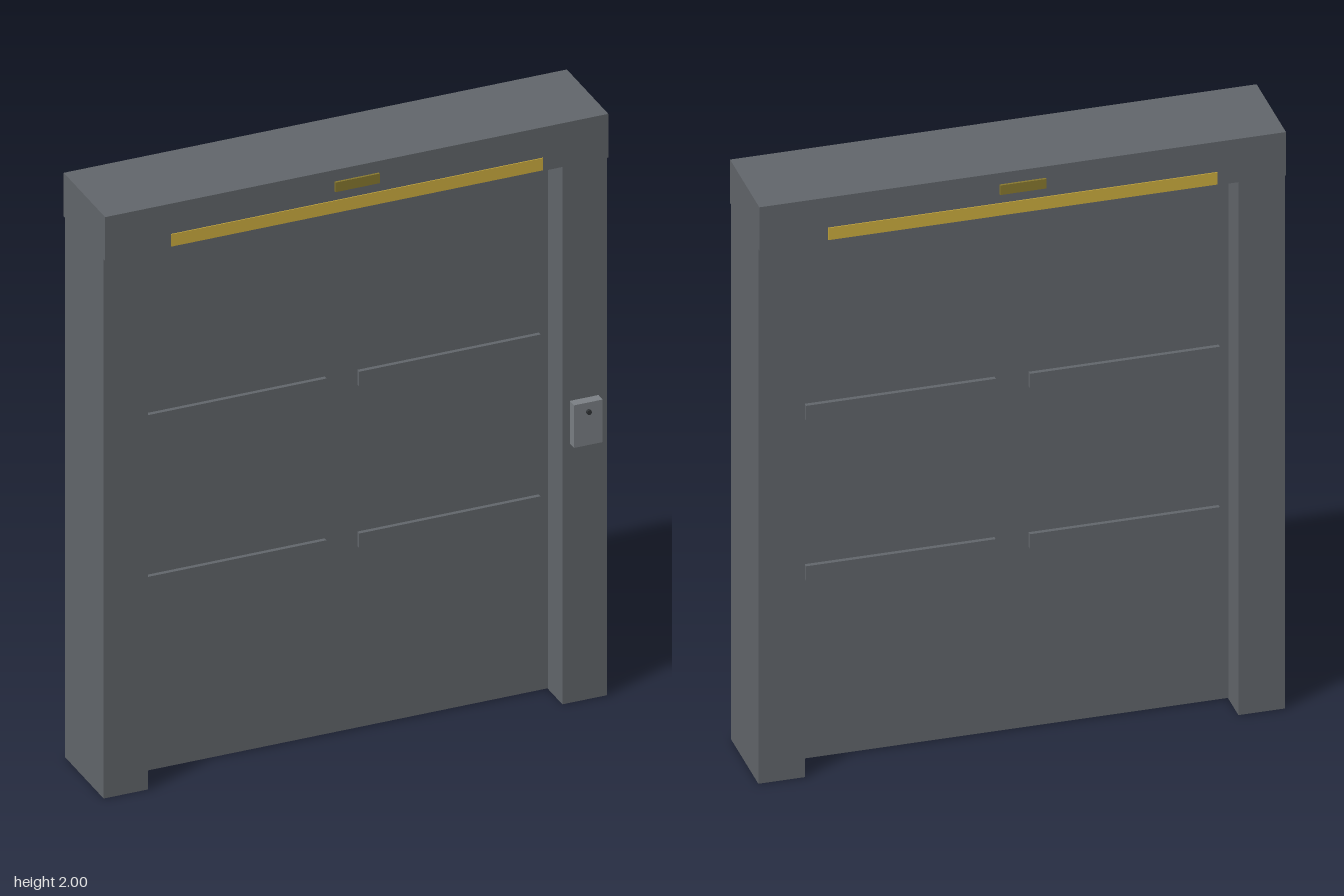
import * as THREE from 'three';

const material = (color) => new THREE.MeshStandardMaterial({ color });

export function createModel() {
  const model = new THREE.Group();
  const steel = material(0x63676c);
  const padGrey = material(0x7c8186);
  const dark = material(0x303336);
  const yellow = material(0xd0b040);
  const amber = material(0x8a7a30);

  // The door assembly is symmetric front to back about this depth
  const frame = new THREE.Group();
  frame.name = 'doorway';
  frame.position.z = -0.0125;
  model.add(frame);

  const box = (parent, name, mat, size, pos) => {
    const mesh = new THREE.Mesh(new THREE.BoxGeometry(...size), mat);
    mesh.name = name;
    mesh.position.set(...pos);
    parent.add(mesh);
    return mesh;
  };

  // Header beam, side posts and recessed door slab
  box(frame, 'header', steel, [1.664, 0.15, 0.313], [0, 1.925, 0]);
  for (const [side, s] of [['left', 1], ['right', -1]]) {
    box(frame, side + 'Post', steel, [0.147, 1.85, 0.291], [s * 0.7585, 0.925, 0]);
  }
  box(frame, 'doorSlab', steel, [1.37, 1.847, 0.076], [0, 0.9265, 0]);

  // Trim repeated on the front and back
  for (const [face, f] of [['front', 1], ['back', -1]]) {
    box(frame, face + 'LightStrip', yellow, [1.23, 0.042, 0.006], [0, 1.875, f * 0.1565]);
    box(frame, face + 'SignalLamp', amber, [0.146, 0.033, 0.016], [0, 1.944, f * 0.156]);
    for (const x of [-0.354, 0.354]) {
      for (const y of [0.65, 1.205]) {
        box(frame, face + 'DoorRib', steel, [0.6, 0.05, 0.016], [x, y, f * 0.044]);
      }
    }
  }

  // Control pad with a small button on the left post
  const pad = new THREE.Group();
  pad.name = 'controlPad';
  pad.position.set(0.757, 0.963, 0.133);
  model.add(pad);
  box(pad, 'padHousing', padGrey, [0.095, 0.146, 0.032], [0, 0, 0.016]);
  const button = new THREE.Mesh(new THREE.CylinderGeometry(0.008, 0.008, 0.012, 12), dark);
  button.name = 'padButton';
  button.rotation.x = Math.PI / 2;
  button.position.set(0, 0.042, 0.035);
  pad.add(button);

  return model;
}
